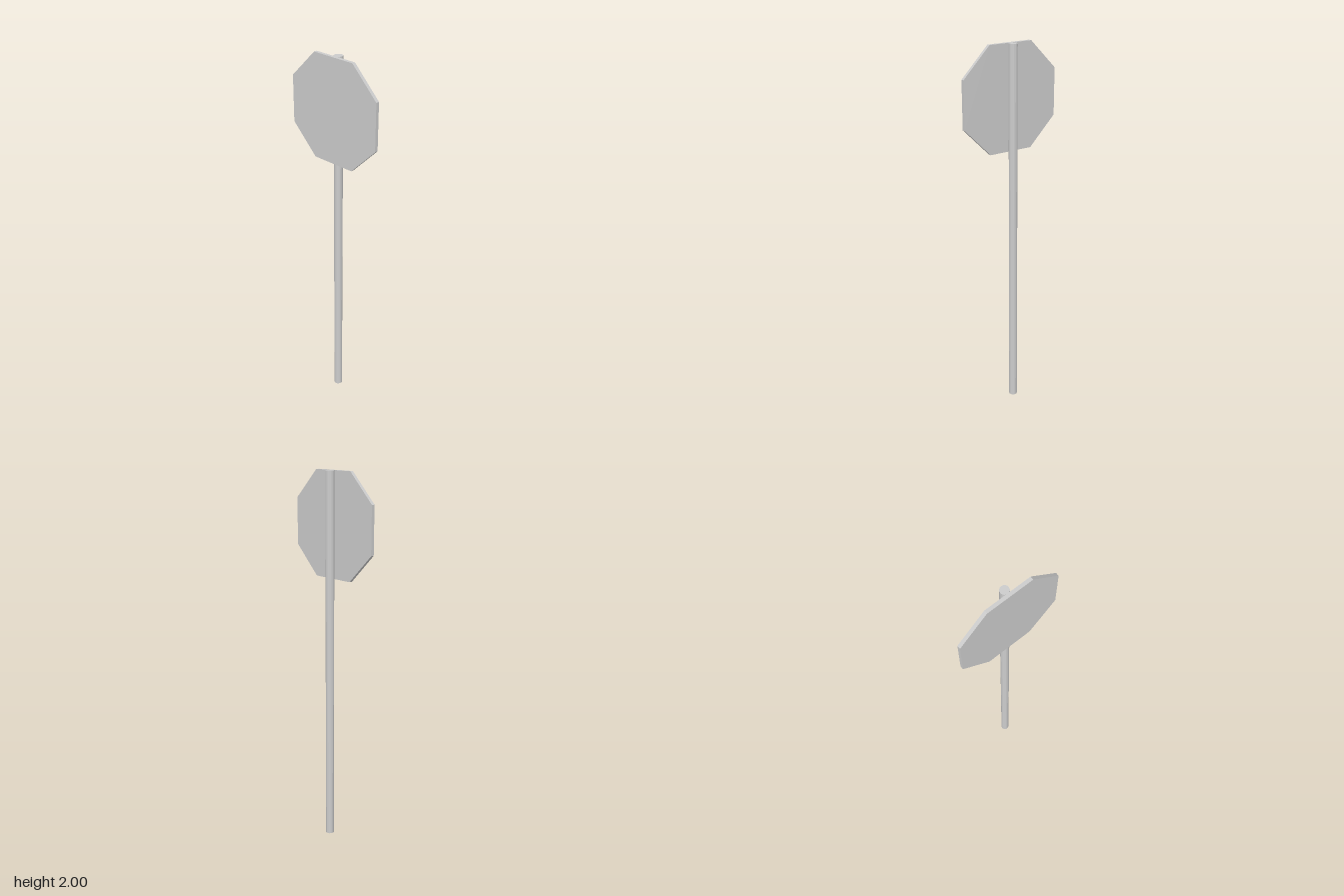
import * as THREE from 'three';

export function createModel() {
  const model = new THREE.Group();
  const material = new THREE.MeshStandardMaterial({ color: 0xcccccc, flatShading: true });

  // Round pole, standing just behind the panel
  const height = 2, radius = 0.0225;
  const pole = new THREE.Mesh(new THREE.CylinderGeometry(radius, radius, height, 16), material);
  pole.name = 'pole';
  pole.position.set(0, height / 2, -0.0085);
  model.add(pole);

  // Eight-sided panel: a square with its corners cut off
  const half = 0.273, flat = 0.123, thickness = 0.018;
  const outline = new THREE.Shape([
    [half, -flat], [half, flat], [flat, half], [-flat, half],
    [-half, flat], [-half, -flat], [-flat, -half], [flat, -half],
  ].map(([x, y]) => new THREE.Vector2(x, y)));
  const panel = new THREE.Mesh(
    new THREE.ExtrudeGeometry(outline, { depth: thickness, bevelEnabled: false }), material);
  panel.name = 'signPanel';
  panel.position.set(0, height - half, 0.012);
  model.add(panel);

  return model;
}
